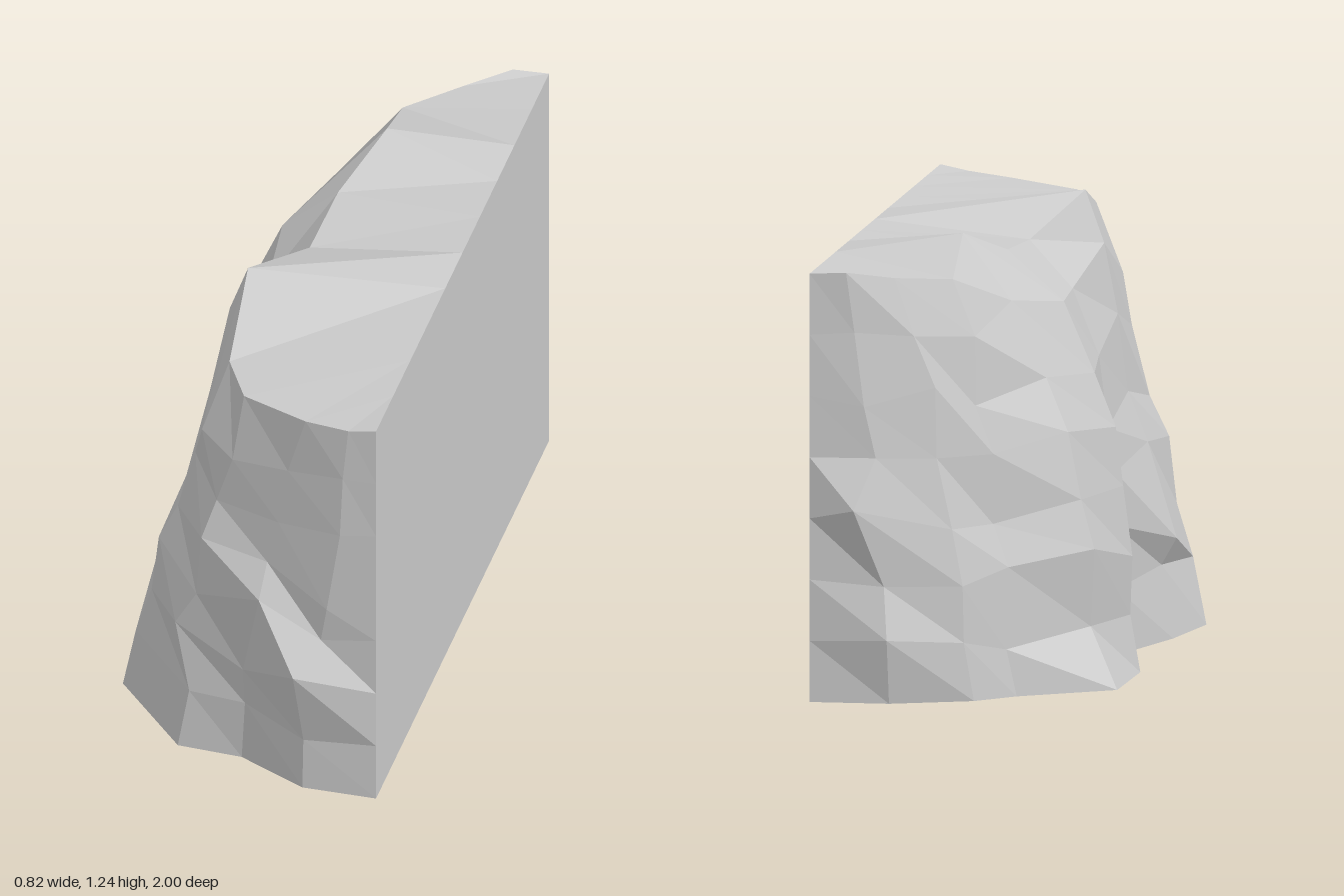
import * as THREE from 'three';

const BACK_X = 0.41, HEIGHT = 1.19, FRONT_Z = 0.94, REAR_Z = -0.96, ROWS = 7;

// Ribs round the rock face, front corner to rear corner:
// foot x, foot z, top x, top z, top y, and how steeply the rib stands before it leans back (0 to 1)
const ribs = [
  [BACK_X, FRONT_Z, BACK_X, FRONT_Z, HEIGHT, 0],
  [0.2, 0.935, 0.33, 0.935, 1.175, 0],
  [0, 0.825, 0.2, 0.9, 1.165, 0.3],
  [-0.185, 0.81, 0, 0.8, 1.155, 0.3],
  [-0.41, 0.54, -0.085, 0.63, 1.15, 0.15],
  [-0.365, 0.29, -0.12, 0.29, 1.24, 0.2],
  [-0.27, -0.01, -0.02, 0, 1.145, 0.9],
  [-0.385, -0.29, -0.01, -0.27, 1.16, 0.7],
  [-0.38, -0.6, 0.07, -0.5, 1.24, 0.5],
  [-0.13, -0.76, 0.05, -0.75, 1.152, 0.3],
  [-0.03, -0.86, 0.19, -0.87, 1.17, 0.3],
  [0.19, -0.95, 0.31, -0.95, 1.194, 0.3],
  [BACK_X, REAR_Z, BACK_X, REAR_Z, HEIGHT, 0],
];
const LAST = ribs.length - 1;

// Knobs and hollows that stand out: rib, row, x, y, z
const knobs = [
  [1, 2, 0.19, 0.39, 1], [1, 4, 0.27, 0.59, 0.94],
  [2, 2, 0.01, 0.3, 0.85], [2, 3, 0.07, 0.57, 0.91],
  [3, 2, -0.2, 0.38, 0.78], [3, 5, -0.08, 0.8, 0.79], [3, 6, -0.03, 0.95, 0.81],
  [4, 6, -0.15, 0.95, 0.68], [5, 2, -0.375, 0.28, 0.29],
  [8, 1, -0.3, 0.17, -0.57], [11, 1, 0.19, 0.18, -0.985], [11, 3, 0.28, 0.54, -1],
];

// Small seeded noise in -1..1
function makeNoise(seed) {
  return () => {
    seed = (seed * 16807) % 2147483647;
    return (seed / 2147483647) * 2 - 1;
  };
}

// Points up one rib, from foot to top
function ribPoints([x0, z0, x1, z1, y1, steep]) {
  return Array.from({ length: ROWS + 1 }, (_, r) => {
    const t = r / ROWS, f = THREE.MathUtils.lerp(t, t ** 5, steep);
    return new THREE.Vector3(x0 + (x1 - x0) * f, y1 * t, z0 + (z1 - z0) * f);
  });
}

function facetedMesh(name, corners) {
  const geometry = new THREE.BufferGeometry().setFromPoints(corners);
  geometry.computeVertexNormals();
  const mesh = new THREE.Mesh(geometry, new THREE.MeshStandardMaterial({
    color: 0xcccccc, flatShading: true, side: THREE.DoubleSide,
  }));
  mesh.name = name;
  return mesh;
}

const quad = (a, b, c, d) => [a, b, c, a, c, d];

export function createModel() {
  const group = new THREE.Group();
  group.name = 'cliffBlock';
  const noise = makeNoise(71);

  // Rough grid: everything between foot, top and straight corners is broken up
  const grid = ribs.map(ribPoints);
  for (let c = 1; c < LAST; c++) {
    for (let r = 1; r < ROWS; r++) {
      grid[c][r].add(new THREE.Vector3(0.015 * noise(), 0.035 * noise(), 0.01 * noise()));
    }
  }
  for (const [c, r, x, y, z] of knobs) grid[c][r].set(x, y, z);

  // Weathered rock face, open underneath
  const wall = [];
  for (let c = 0; c < LAST; c++) {
    for (let r = 0; r < ROWS; r++) {
      wall.push(...quad(grid[c][r], grid[c][r + 1], grid[c + 1][r + 1], grid[c + 1][r]));
    }
  }
  group.add(facetedMesh('rockFace', wall));

  // Top ledge, running from the rim to the straight edge of the flat side
  const rim = grid.map((rib) => rib[ROWS]);
  const edge = (c) => new THREE.Vector3(
    BACK_X, HEIGHT, THREE.MathUtils.lerp(FRONT_Z, REAR_Z, (c - 1) / (LAST - 2)));
  const top = [];
  for (let c = 1; c < LAST - 1; c++) top.push(...quad(rim[c], edge(c), edge(c + 1), rim[c + 1]));
  group.add(facetedMesh('topLedge', top));

  // Flat side
  group.add(facetedMesh('flatSide', quad(grid[0][0], grid[LAST][0], rim[LAST], rim[0])));

  return group;
}
